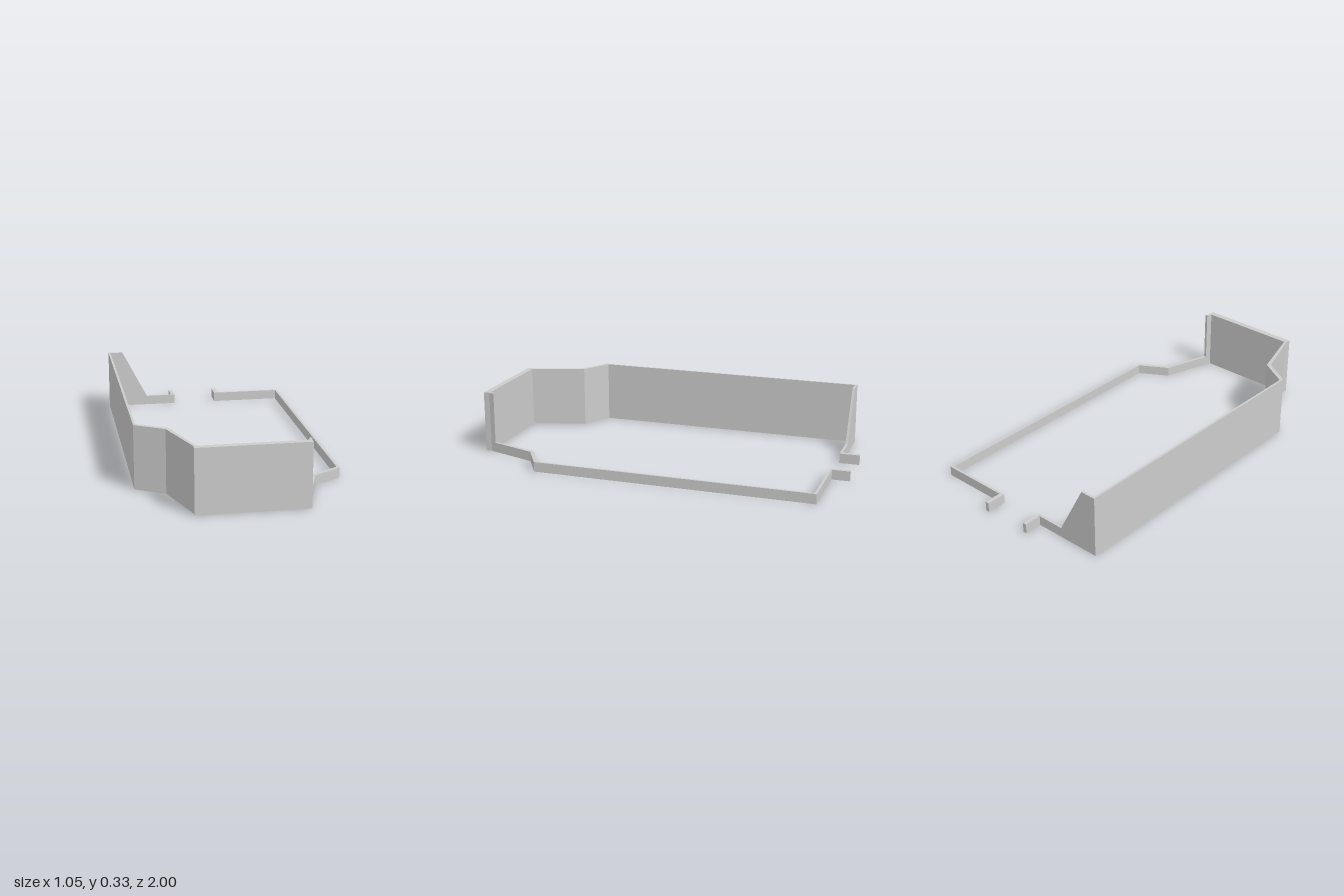
import * as THREE from 'three';

const TALL = 0.333, LOW = 0.053;
const material = new THREE.MeshStandardMaterial({ color: 0xcccccc, flatShading: true });

const toShape = (pts) => new THREE.Shape(pts.map(([x, y]) => new THREE.Vector2(x, y)));

function addMesh(group, name, geometry) {
  const mesh = new THREE.Mesh(geometry, material);
  mesh.name = name;
  group.add(mesh);
}

// Raises a plan outline of [x, z] points from the ground to the given height.
function addWall(group, name, plan, height, side = 1) {
  const shape = toShape(plan.map(([x, z]) => [x * side, -z]));
  const geometry = new THREE.ExtrudeGeometry(shape, { depth: height, bevelEnabled: false });
  addMesh(group, name, geometry.rotateX(-Math.PI / 2));
}

export function createModel() {
  const group = new THREE.Group();
  group.name = 'frame';

  // Side strip: angled nose, kink, then the long straight side
  const sidePlan = [
    [0.282, 0.967], [0.375, 0.69], [0.523, 0.599], [0.523, -0.893],
    [0.511, -0.893], [0.511, 0.583], [0.357, 0.675], [0.268, 0.967],
  ];
  addWall(group, 'tallSideWall', sidePlan, TALL, -1);
  addWall(group, 'lowSideRail', sidePlan, LOW, 1);

  // Front plate and its short return along the low side
  addWall(group, 'frontPlate', [[-0.282, 1], [0.282, 1], [0.282, 0.967], [-0.282, 0.967]], TALL);
  addWall(group, 'frontReturn', [[0.282, 0.967], [0.291, 0.938], [0.277, 0.938], [0.268, 0.967]], TALL);

  // Back wall on the tall side, sloping down to the low rail
  const backProfile = toShape([
    [-0.523, 0], [-0.125, 0], [-0.125, LOW], [-0.295, LOW], [-0.44, TALL], [-0.523, TALL],
  ]);
  const backWall = new THREE.ExtrudeGeometry(backProfile, { depth: 0.013, bevelEnabled: false });
  addMesh(group, 'slopedBackWall', backWall.translate(0, 0, -0.906));

  // Low back rail on the other side
  addWall(group, 'lowBackRail', [[0.125, -0.893], [0.523, -0.893], [0.523, -0.906], [0.125, -0.906]], LOW);

  // Pair of tabs pointing backward at the rear opening
  for (const side of [-1, 1]) {
    addWall(group, side < 0 ? 'rightRearTab' : 'leftRearTab',
      [[0.125, -0.906], [0.146, -0.906], [0.146, -1], [0.125, -1]], LOW, side);
  }
  return group;
}
